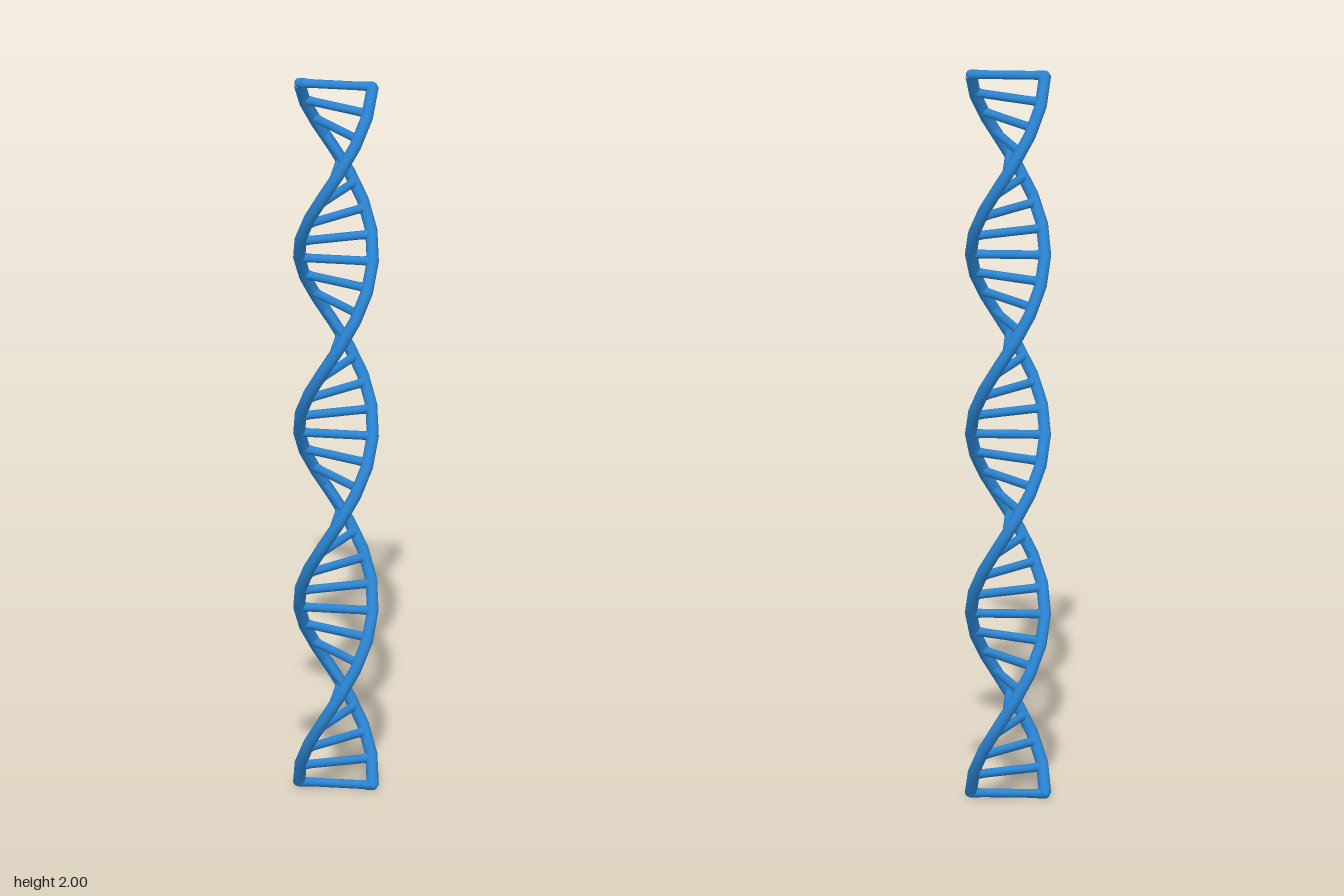
import * as THREE from 'three';

const BOTTOM = 0.013, TOP = 1.987, TURNS = 2;
const RADIUS = 0.097, STRAND = 0.016, RUNG = 0.0115;
const RUNGS = 33, STEPS = 28;

// Right-handed helix climbing the y axis
class Helix extends THREE.Curve {
  constructor(phase) {
    super();
    this.phase = phase;
  }
  getPoint(t, target = new THREE.Vector3()) {
    const a = this.phase + t * TURNS * Math.PI * 2;
    return target.set(Math.cos(a) * RADIUS, BOTTOM + t * (TOP - BOTTOM), -Math.sin(a) * RADIUS);
  }
}

export function createModel() {
  const model = new THREE.Group();
  model.name = 'doubleHelix';
  const blue = new THREE.MeshStandardMaterial({ color: 0x2a84d2 });

  // Two opposite strands with rounded ends
  const capGeometry = new THREE.SphereGeometry(0.013, 12, 8);
  ['leftStrand', 'rightStrand'].forEach((name, i) => {
    const strand = new THREE.Group();
    strand.name = name;
    const helix = new Helix(i * Math.PI);
    const tube = new THREE.Mesh(new THREE.TubeGeometry(helix, STEPS, STRAND, 10), blue);
    tube.name = 'strandTube';
    strand.add(tube);
    for (const t of [0, 1]) {
      const cap = new THREE.Mesh(capGeometry, blue);
      cap.name = 'strandEnd';
      cap.position.copy(helix.getPoint(t));
      strand.add(cap);
    }
    model.add(strand);
  });

  // Rungs, flared slightly where they meet the strands
  const profile = [
    [0, -RADIUS], [0.013, -RADIUS], [0.013, -0.083], [RUNG, -0.068],
    [RUNG, 0.068], [0.013, 0.083], [0.013, RADIUS], [0, RADIUS],
  ].map(([r, y]) => new THREE.Vector2(r, y));
  const rungGeometry = new THREE.LatheGeometry(profile, 10).rotateZ(Math.PI / 2);
  const rungs = new THREE.Group();
  rungs.name = 'rungs';
  for (let i = 0; i < RUNGS; i++) {
    const t = i / (RUNGS - 1);
    const rung = new THREE.Mesh(rungGeometry, blue);
    rung.name = 'rung';
    rung.position.y = BOTTOM + t * (TOP - BOTTOM);
    rung.rotation.y = t * TURNS * Math.PI * 2;
    rungs.add(rung);
  }
  model.add(rungs);
  return model;
}
